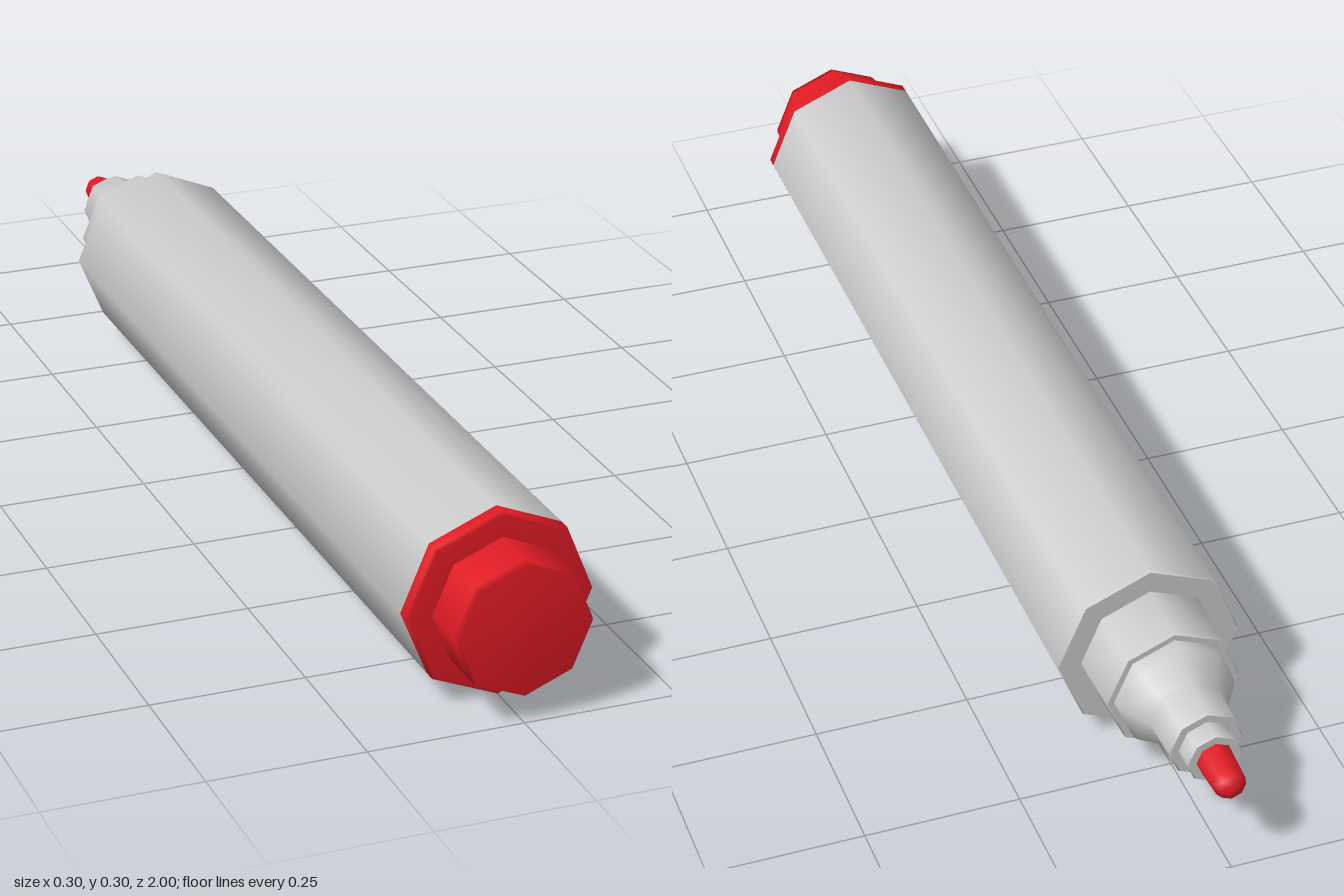
import * as THREE from 'three';
import { toCreasedNormals } from 'three/addons/utils/BufferGeometryUtils.js';

const SIDES = 8;
const RADIUS = 0.151;

export function createModel() {
  const group = new THREE.Group();
  const grey = new THREE.MeshStandardMaterial({ color: 0xcccccc });
  const red = new THREE.MeshStandardMaterial({ color: 0xe01b24 });

  // Eight-sided turned part; profile is [radius, z] from back to front
  function turned(name, material, profile, smooth = false) {
    const points = profile.map(([r, z]) => new THREE.Vector2(r, z));
    let geometry = new THREE.LatheGeometry(points, SIDES);
    if (!smooth) geometry = toCreasedNormals(geometry, Math.PI / 3);
    geometry.rotateX(Math.PI / 2);
    const mesh = new THREE.Mesh(geometry, material);
    mesh.name = name;
    mesh.position.y = RADIUS;
    group.add(mesh);
  }

  // Barrel with its flat shoulder
  turned('barrel', grey, [[0.11, -0.645], [0.149, -0.645], [RADIUS, -0.64], [RADIUS, 0.88]]);

  // Stepped collar and tapering nozzle
  turned('collar', grey, [[0.09, -0.75], [0.107, -0.75], [0.109, -0.743], [0.112, -0.645]]);
  turned('nozzle', grey, [
    [0.04, -0.887], [0.058, -0.887], [0.061, -0.882], [0.063, -0.82],
    [0.069, -0.807], [0.09, -0.775], [0.095, -0.765], [0.097, -0.75],
  ]);
  turned('nibHolder', grey, [[0.025, -0.922], [0.043, -0.922], [0.045, -0.918], [0.045, -0.885]]);

  // Rounded writing nib
  turned('nib', red, [
    [0, -1], [0.012, -0.998], [0.022, -0.99], [0.027, -0.977], [0.03, -0.92],
  ], true);

  // End cap: flange and plug with a softened rim
  turned('capFlange', red, [[RADIUS, 0.88], [RADIUS, 0.9], [0.147, 0.906], [0.105, 0.906]], true);
  turned('capPlug', red, [[0.111, 0.9], [0.111, 0.985], [0.107, 0.998], [0, 1]], true);

  return group;
}
